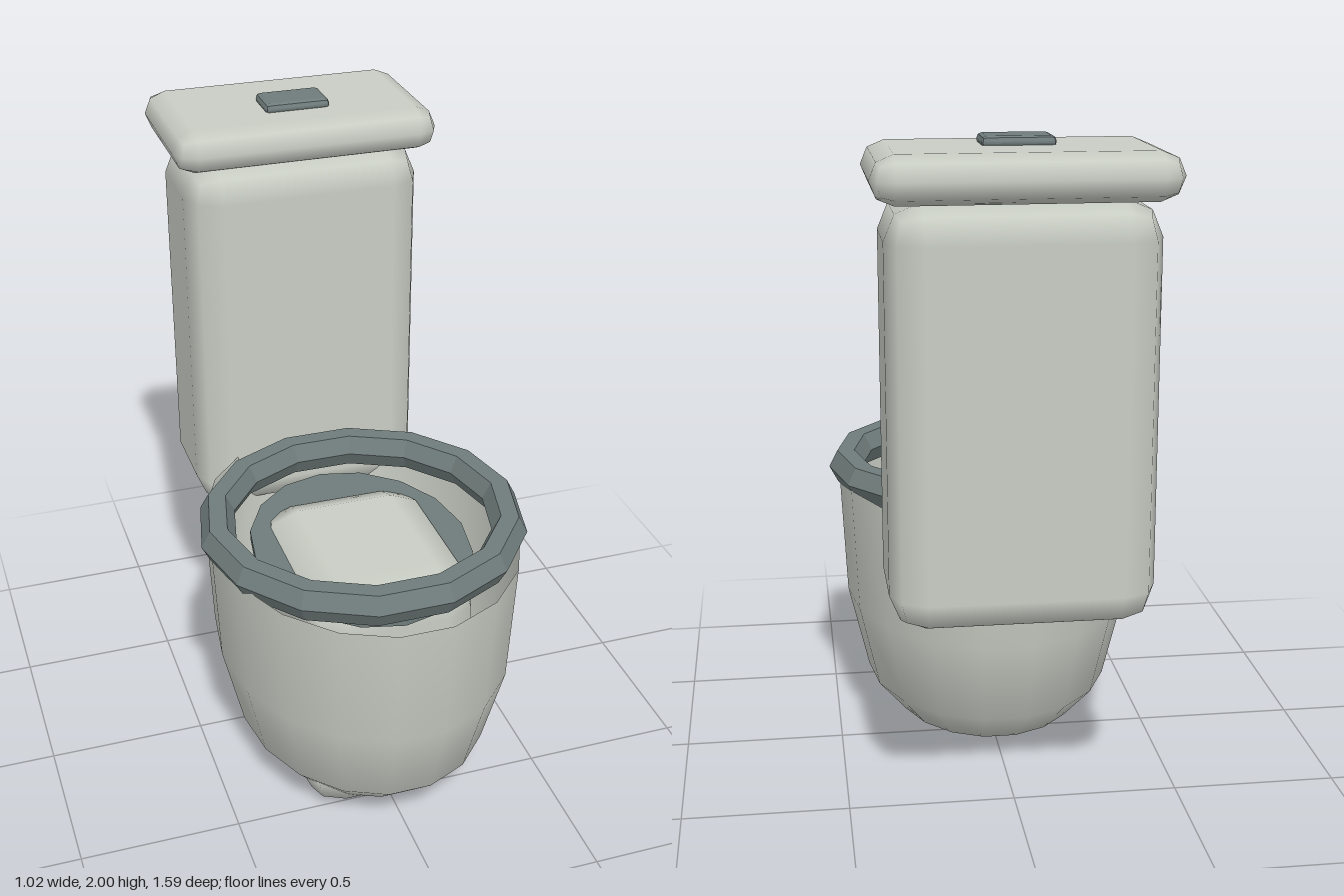
import * as THREE from 'three';

const ceramic = new THREE.MeshStandardMaterial({ color: 0xc8cdc4, side: THREE.DoubleSide });
ceramic.name = 'pale ceramic';
const slate = new THREE.MeshStandardMaterial({ color: 0x6f7c7b, flatShading: true });
slate.name = 'slate grey';

// Box with edges rounded by a two-step bevel, given by its min and max corners
function bevelBox(name, min, max, r, material) {
  const size = max.map((v, i) => v - min[i]);
  const mid = max.map((v, i) => (v + min[i]) / 2);
  const geo = new THREE.BoxGeometry(6, 6, 6, 3, 3, 3); // grid lines at -3, -1, 1, 3
  const pos = geo.attributes.position;
  const nor = geo.attributes.normal;
  for (let i = 0; i < pos.count; i++) {
    const g = [pos.getX(i), pos.getY(i), pos.getZ(i)];
    const d = new THREE.Vector3(...g.map(v => (Math.abs(v) > 2 ? Math.sign(v) : 0))).normalize();
    const core = g.map((v, k) => Math.sign(v) * (size[k] / 2 - r));
    pos.setXYZ(i, core[0] + d.x * r, core[1] + d.y * r, core[2] + d.z * r);
    nor.setXYZ(i, d.x, d.y, d.z);
  }
  const mesh = new THREE.Mesh(geo, material);
  mesh.name = name;
  mesh.position.set(...mid);
  return mesh;
}

export function createModel() {
  const model = new THREE.Group();
  model.name = 'toilet';

  // Cistern with its lid and flush button
  model.add(bevelBox('tank', [-0.38, 0.63, -0.755], [0.38, 1.84, -0.305], 0.105, ceramic));
  model.add(bevelBox('tankLid', [-0.42, 1.84, -0.795], [0.42, 1.975, -0.275], 0.0675, ceramic));
  model.add(bevelBox('flushButton', [-0.103, 1.965, -0.556], [0.103, 2.0, -0.42], 0.015, slate));

  // Foot block running up through the bowl
  model.add(bevelBox('foot', [-0.28, 0, -0.085], [0.28, 0.82, 0.57], 0.125, ceramic));

  // Open oval bowl
  const profile = [[0, 0.05], [0.3, 0.05], [0.395, 0.165], [0.46, 0.44], [0.48, 0.845]]
    .map(p => new THREE.Vector2(...p));
  const bowl = new THREE.Mesh(new THREE.LatheGeometry(profile, 18, Math.PI / 18), ceramic);
  bowl.name = 'bowl';
  bowl.scale.z = 1.265;
  bowl.position.z = 0.2;
  model.add(bowl);

  // Flat oval surface inside the bowl
  const basin = new THREE.Mesh(new THREE.CylinderGeometry(0.34, 0.34, 0.03, 16), slate);
  basin.name = 'basin';
  basin.scale.z = 1.25;
  basin.position.set(0, 0.76, 0.2);
  model.add(basin);

  // Faceted seat ring
  const ring = new THREE.TorusGeometry(0.457, 0.055, 6, 14);
  ring.rotateX(Math.PI / 2);
  const seat = new THREE.Mesh(ring, slate);
  seat.name = 'seat';
  seat.scale.y = 1.1;
  seat.position.set(0, 0.863, 0.213);
  model.add(seat);

  return model;
}
